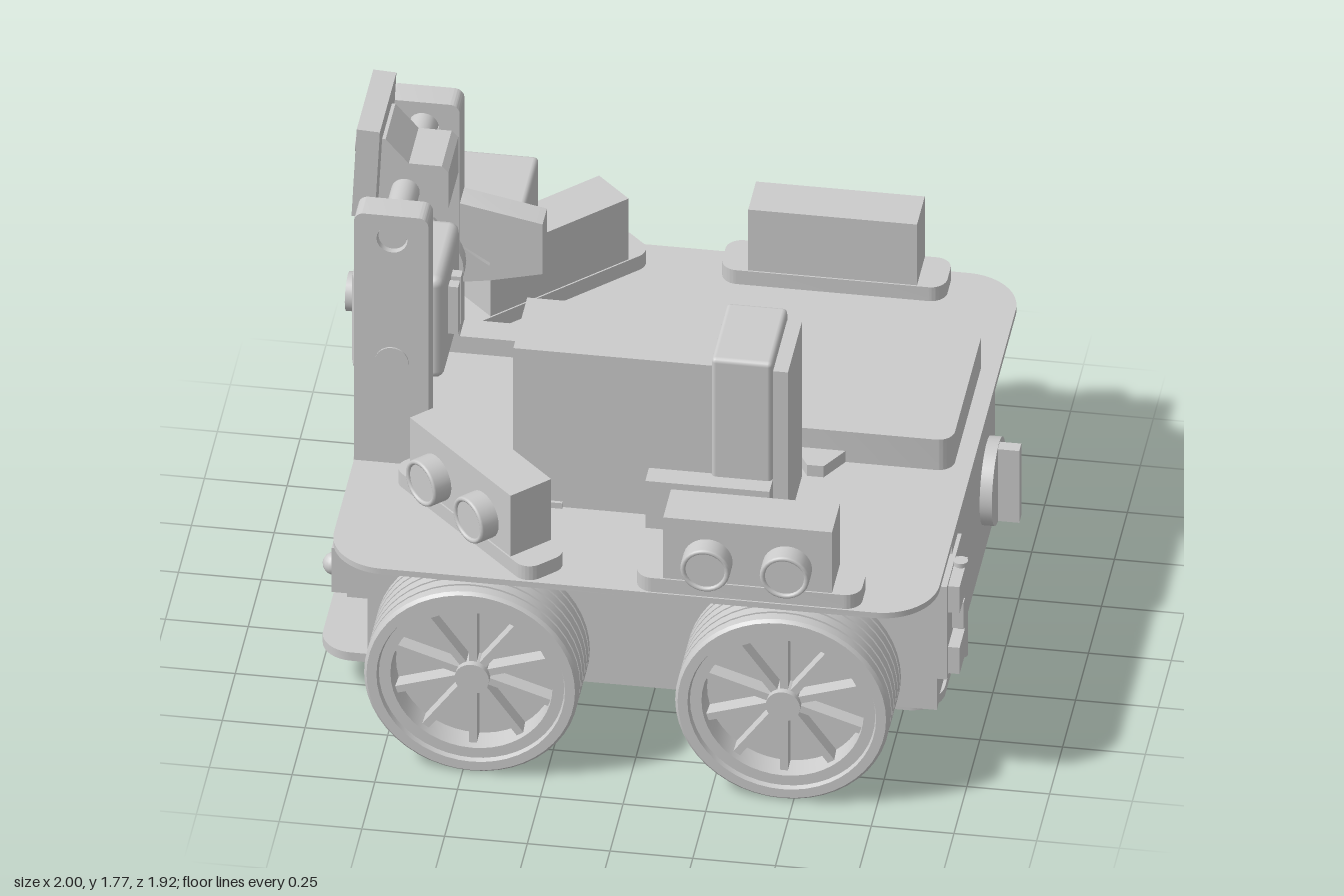
import * as THREE from 'three';
import { RoundedBoxGeometry } from 'three/addons/geometries/RoundedBoxGeometry.js';
import { toCreasedNormals } from 'three/addons/utils/BufferGeometryUtils.js';

const mat = new THREE.MeshStandardMaterial({ color: 0xcccccc });

function add(parent, name, geo, x = 0, y = 0, z = 0) {
  const m = new THREE.Mesh(geo, mat);
  m.name = name;
  m.position.set(x, y, z);
  parent.add(m);
  return m;
}

// Box given by its min/max extents, optionally rounded
function box(parent, name, x0, x1, y0, y1, z0, z1, r = 0) {
  const s = [x1 - x0, y1 - y0, z1 - z0];
  const geo = r ? new RoundedBoxGeometry(...s, 2, r) : new THREE.BoxGeometry(...s);
  return add(parent, name, geo, (x0 + x1) / 2, (y0 + y1) / 2, (z0 + z1) / 2);
}

// Cylinder along a chosen axis
function rod(parent, name, axis, r, len, x, y, z, seg = 28) {
  const geo = new THREE.CylinderGeometry(r, r, len, seg);
  if (axis === 'x') geo.rotateZ(Math.PI / 2);
  if (axis === 'z') geo.rotateX(Math.PI / 2);
  return add(parent, name, geo, x, y, z);
}

function roundRect(x0, x1, y0, y1, r) {
  const s = new THREE.Shape();
  const h = Math.PI / 2;
  s.absarc(x1 - r, y0 + r, r, -h, 0);
  s.absarc(x1 - r, y1 - r, r, 0, h);
  s.absarc(x0 + r, y1 - r, r, h, 2 * h);
  s.absarc(x0 + r, y0 + r, r, 2 * h, 3 * h);
  s.closePath();
  return s;
}

const extrude = (shape, depth) => toCreasedNormals(
  new THREE.ExtrudeGeometry(shape, { depth, bevelEnabled: false, curveSegments: 10 }), 0.6);

// Horizontal slab with rounded corners in plan
function slab(parent, name, x0, x1, y0, y1, z0, z1, r) {
  const geo = extrude(roundRect(x0, x1, -z1, -z0, r), y1 - y0);
  geo.rotateX(-Math.PI / 2);
  return add(parent, name, geo, 0, y0, 0);
}

// Wheel facing +z: grooved tyre, recessed rim, spokes and hub
function wheel() {
  const g = new THREE.Group();
  g.name = 'wheel';
  const p = [[0, -0.12], [0.28, -0.12], [0.31, -0.12], [0.324, -0.11]];
  for (let i = 0; i < 5; i++) {
    const y = -0.085 + i * 0.04;
    p.push([0.324, y - 0.004], [0.308, y - 0.003], [0.308, y + 0.003], [0.324, y + 0.004]);
  }
  p.push([0.324, 0.11], [0.315, 0.12], [0.285, 0.12], [0.28, 0.105], [0.245, 0.105], [0.24, 0.03], [0, 0.03]);
  const tyre = new THREE.LatheGeometry(p.map(([r, y]) => new THREE.Vector2(r, y)), 48);
  tyre.rotateX(Math.PI / 2);
  add(g, 'tyre', toCreasedNormals(tyre, 0.5));
  for (let i = 0; i < 10; i++) {
    const spoke = new THREE.BoxGeometry(0.2, 0.024, 0.05);
    spoke.translate(0.145, 0, 0);
    add(g, 'spoke', spoke, 0, 0, 0.055).rotation.z = (i + 0.5) * Math.PI / 5;
  }
  rod(g, 'hub', 'z', 0.052, 0.08, 0, 0, 0.06);
  rod(g, 'axle', 'z', 0.045, 0.1, 0, 0, -0.15);
  return g;
}

// Distance sensor facing +z with two round eyes
function distanceSensor() {
  const g = new THREE.Group();
  g.name = 'distanceSensor';
  slab(g, 'sensorFoot', -0.34, 0.34, 0, 0.05, -0.08, 0.08, 0.05);
  box(g, 'sensorBody', -0.255, 0.255, 0.05, 0.27, -0.075, 0.075);
  for (const x of [-0.12, 0.12]) {
    rod(g, 'sensorEye', 'z', 0.075, 0.06, x, 0.13, 0.1);
    add(g, 'eyeRim', new THREE.TorusGeometry(0.067, 0.008, 8, 28), x, 0.13, 0.13);
  }
  return g;
}

export function createModel() {
  const g = new THREE.Group();
  g.name = 'rover';

  // Chassis, deck and floor plate
  box(g, 'chassis', -0.84, 0.88, 0.14, 0.69, -0.56, 0.565);
  slab(g, 'deck', -0.915, 0.915, 0.69, 0.71, -0.905, 0.905, 0.17);
  slab(g, 'floorPlate', -0.99, 0.89, 0.13, 0.16, -0.56, 0.565, 0.1);

  // Wheels and motors on both sides
  for (const s of [1, -1]) for (const x of [-0.475, 0.465]) {
    const w = wheel();
    w.position.set(x, 0.325, s * 0.785);
    if (s < 0) w.rotation.y = Math.PI;
    g.add(w);
    box(g, 'motor', x - 0.13, x + 0.13, 0.17, 0.53, s > 0 ? 0.56 : -0.64, s > 0 ? 0.64 : -0.55);
  }

  // Four distance sensors: two square to the sides, two turned to the corners
  const sensors = [[0.36, 0.82, 0], [0.36, -0.82, Math.PI],
    [-0.49, 0.62, -Math.PI / 4], [-0.49, -0.62, -Math.PI * 3 / 4]];
  for (const [x, z, a] of sensors) {
    const s = distanceSensor();
    s.position.set(x, 0.71, z);
    s.rotation.y = a;
    g.add(s);
  }

  // Flat pack with pointed tabs beneath it
  slab(g, 'flatPack', 0.06, 0.86, 0.71, 0.82, -0.465, 0.135, 0.05);
  for (const s of [1, -1]) {
    const tri = new THREE.Shape([[-0.08, 0], [0.08, 0], [0.025, 0.095], [-0.025, 0.095]]
      .map(([x, y]) => new THREE.Vector2(x, y)));
    const geo = extrude(tri, 0.04);
    geo.rotateX(s * Math.PI / 2);
    add(g, 'packTab', geo, 0.46, s > 0 ? 0.75 : 0.71, s > 0 ? 0.13 : -0.46);
  }

  // Upright box held in a clamp
  box(g, 'uprightBox', -0.41, 0.42, 0.71, 1.27, 0.23, 0.5);
  box(g, 'boxStrap', 0.19, 0.375, 0.71, 1.305, 0.21, 0.515, 0.015);
  box(g, 'clampBase', 0, 0.375, 0.71, 0.76, 0.145, 0.57);
  for (const [z0, z1] of [[0.145, 0.225], [0.5, 0.57]])
    box(g, 'clampCheek', 0, 0.375, 0.75, 0.88, z0, z1);
  box(g, 'boxFoot', -0.43, -0.26, 0.71, 0.73, 0.21, 0.51);

  // Sloped button
  const button = new THREE.CylinderGeometry(0.055, 0.1, 0.1, 4, 1);
  button.rotateY(Math.PI / 4);
  button.scale(1, 1, 1.36);
  add(g, 'button', button.toNonIndexed(), -0.34, 0.76, -0.225).geometry.computeVertexNormals();

  // Mast posts with a bored upper end
  for (const s of [1, -1]) {
    const post = roundRect(-0.915, -0.69, 0.71, 1.605, 0.03);
    post.holes.push(new THREE.Path().absarc(-0.8, 1.52, 0.047, 0, Math.PI * 2, true));
    add(g, 'mastPost', extrude(post, 0.09), 0, 0, s > 0 ? 0.26 : -0.345);
    box(g, 'postFoot', -0.915, -0.5, 0.71, 0.77, s > 0 ? 0.26 : -0.345, s > 0 ? 0.35 : -0.255);
  }
  rod(g, 'pivotCap', 'z', 0.05, 0.02, -0.8, 1.08, 0.345);
  const arm = new THREE.Shape([[-0.96, 1.0], [-0.91, 0.93], [-0.6, 0.98], [-0.44, 1.02], [-0.44, 1.2],
    [-0.69, 1.25], [-0.91, 1.25], [-0.96, 1.19]].map(([x, y]) => new THREE.Vector2(x, y)));
  add(g, 'servoMount', extrude(arm, 0.085), 0, 0, -0.342);
  box(g, 'servo', -0.89, -0.51, 1.0, 1.185, -0.635, -0.33, 0.015);

  // Tilting camera head between the posts
  box(g, 'cameraHead', -0.95, -0.67, 0.91, 1.275, -0.14, 0.19, 0.03);
  rod(g, 'cameraLens', 'x', 0.06, 0.05, -0.96, 1.09, 0.02);
  for (const z of [0.005, 0.06]) box(g, 'cameraRib', -0.68, -0.64, 1.02, 1.19, z, z + 0.035);
  rod(g, 'servoHorn', 'z', 0.14, 0.05, -0.8, 1.09, -0.165);
  rod(g, 'servoShaft', 'z', 0.055, 0.08, -0.8, 1.09, -0.22);
  rod(g, 'headPivot', 'z', 0.05, 0.1, -0.8, 1.09, 0.22);
  const star = new THREE.Shape();
  for (let i = 0; i < 8; i++) {
    const r = i % 2 ? 0.11 : 0.2, a = i * Math.PI / 4;
    star[i ? 'lineTo' : 'moveTo'](-0.79 + r * Math.cos(a), 1.08 + r * Math.sin(a));
  }
  add(g, 'hornPlate', extrude(star, 0.015), 0, 0, -0.205);

  // Cross bar with clamp and upper panel
  rod(g, 'crossBar', 'z', 0.043, 0.67, -0.8, 1.52, 0);
  const clamp = new THREE.Shape([[-0.9, 1.5], [-0.84, 1.45], [-0.7, 1.43], [-0.67, 1.47], [-0.67, 1.6],
    [-0.69, 1.62], [-0.79, 1.62], [-0.86, 1.7], [-0.9, 1.7]].map(([x, y]) => new THREE.Vector2(x, y)));
  add(g, 'barClamp', extrude(clamp, 0.19), 0, 0, -0.1);
  box(g, 'upperPanel', -0.945, -0.875, 1.455, 1.77, -0.165, 0.155).rotation.z = -0.05;
  rod(g, 'panelEye', 'x', 0.03, 0.02, -0.952, 1.62, 0);

  // Sensor strip and lamps on the -x end
  box(g, 'sensorStrip', -0.92, -0.83, 0.28, 0.45, -0.45, 0.45);
  for (const s of [1, -1]) {
    box(g, 'stripEnd', -0.965, -0.83, 0.3, 0.46, s * 0.41 - 0.05, s * 0.41 + 0.05);
    rod(g, 'endLamp', 'x', 0.085, 0.11, -0.885, 0.57, s * 0.12);
    for (const z of [0.19, 0.28])
      add(g, 'stripStud', new THREE.SphereGeometry(0.032, 16, 10), -0.925, 0.37, s * z);
  }
  add(g, 'stripNub', new THREE.SphereGeometry(0.035, 16, 10), -0.965, 0.37, 0.41);
  add(g, 'stripNub', new THREE.SphereGeometry(0.035, 16, 10), -0.965, 0.37, -0.41);

  // Door, hinge and turn knob on the +x end
  const door = roundRect(-0.385, 0.385, 0.18, 0.64, 0.04);
  const doorGeo = extrude(door, 0.02);
  doorGeo.rotateY(Math.PI / 2);
  add(g, 'door', doorGeo, 0.878, 0, 0);
  box(g, 'hingePlate', 0.87, 0.91, 0.25, 0.585, 0.275, 0.56);
  for (let i = 0; i < 3; i++) {
    const y = 0.26 + i * 0.11;
    box(g, 'hingeKnuckle', 0.9, 0.945, y, y + 0.095, 0.38, i === 1 ? 0.46 : 0.54);
  }
  rod(g, 'hingePin', 'y', 0.022, 0.34, 0.93, 0.42, 0.42, 16);
  rod(g, 'turnKnob', 'x', 0.135, 0.05, 0.91, 0.4, -0.28, 36);
  box(g, 'knobGrip', 0.92, 1.0, 0.27, 0.53, -0.3, -0.26);

  return g;
}
